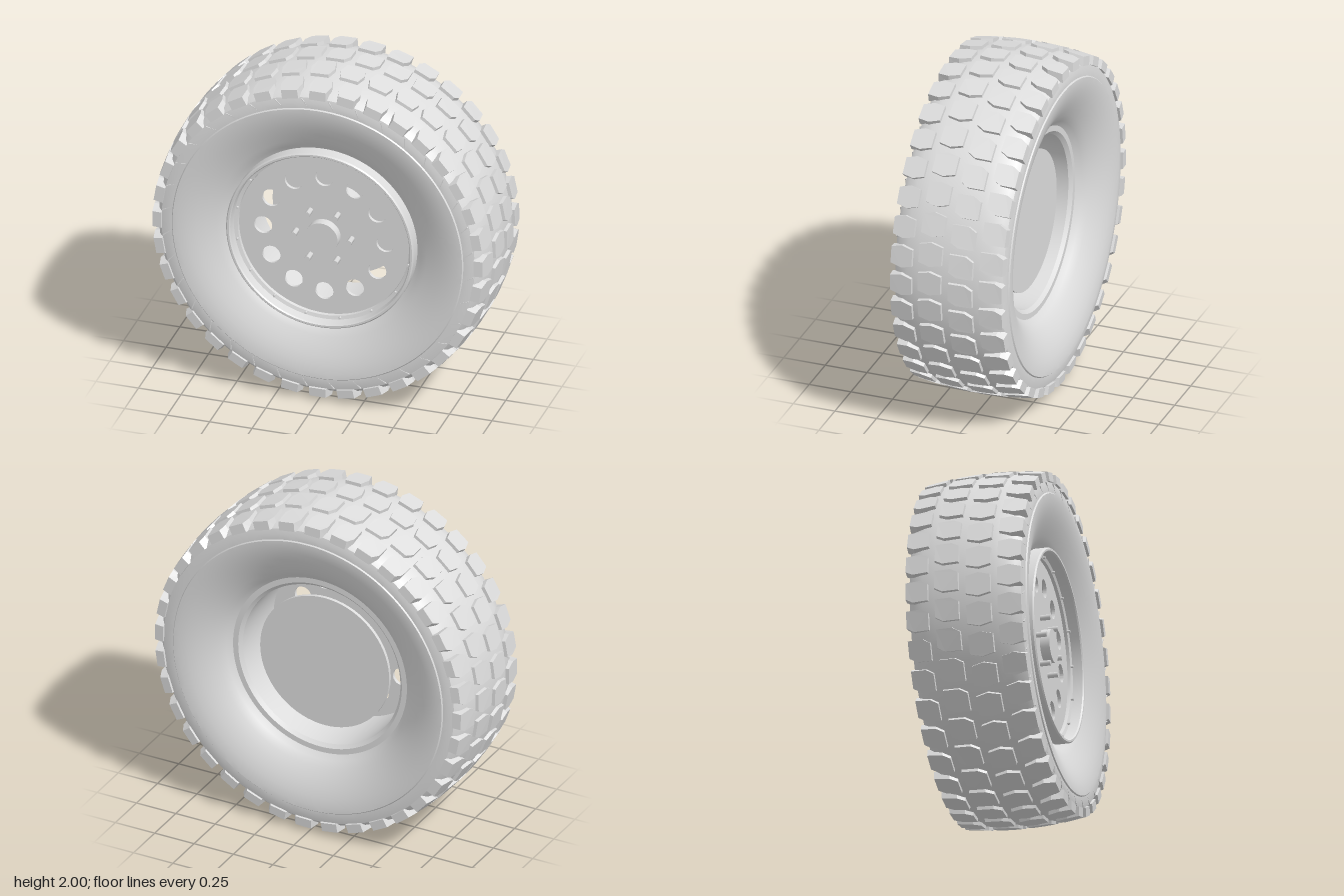
import * as THREE from 'three';
import { mergeGeometries, toCreasedNormals } from 'three/addons/utils/BufferGeometryUtils.js';

const grey = new THREE.MeshStandardMaterial({ color: 0xdddddd });
grey.name = 'light grey';

const TAU = Math.PI * 2;
const BLOCKS = 36;

// Closed (radius, z) profile, counterclockwise, spun around the wheel axis
function spin(profile, crease = 0.45) {
  const pts = profile.concat([profile[0]]).map(([r, z]) => new THREE.Vector2(r, z));
  const g = new THREE.LatheGeometry(pts, 120).rotateX(Math.PI / 2);
  return toCreasedNormals(g, crease);
}

// Cylinder lying along the wheel axis
function drum(radius, z0, z1, sides) {
  return new THREE.CylinderGeometry(radius, radius, z1 - z0, sides)
    .rotateX(Math.PI / 2).translate(0, 0, (z0 + z1) / 2);
}

// Copies of a geometry around the wheel axis
function ring(geometry, count, offset = 0) {
  const copies = [];
  for (let i = 0; i < count; i++) {
    copies.push(geometry.clone().rotateZ((i / count) * TAU + offset));
  }
  return mergeGeometries(copies);
}

// Tread block: outline in (tangent, z), wrapped onto the tyre at +x
function treadBlock(outline, zMid, baseR) {
  const shape = new THREE.Shape(outline.map(([s, z]) => new THREE.Vector2(s, z)));
  const g = new THREE.ExtrudeGeometry(shape, { depth: 1, bevelEnabled: false });
  const p = g.attributes.position;
  for (let i = 0; i < p.count; i++) {
    const top = p.getZ(i) > 0.5;
    const shrink = top ? 0.94 : 1;
    const a = p.getX(i) * shrink;
    const z = zMid + p.getY(i) * shrink;
    const r = top ? 1.001 - 0.25 * z * z : baseR;
    p.setXYZ(i, r * Math.cos(a), r * Math.sin(a), z);
  }
  g.computeVertexNormals();
  return g;
}

export function createModel() {
  const wheel = new THREE.Group();
  wheel.name = 'wheel';
  wheel.position.y = 1;
  const add = (name, geometry) => {
    const mesh = new THREE.Mesh(geometry, grey);
    mesh.name = name;
    wheel.add(mesh);
  };

  // Tyre carcass: dished sidewalls, sloped shoulders, crowned tread base
  add('tyre', spin([
    [0.53, -0.175], [0.56, -0.195], [0.58, -0.22], [0.62, -0.252], [0.67, -0.283],
    [0.72, -0.307], [0.77, -0.325], [0.82, -0.336], [0.852, -0.338], [0.858, -0.331],
    [0.89, -0.33], [0.922, -0.322], [0.945, -0.295], [0.963, -0.24], [0.975, -0.17], [0.983, 0],
    [0.975, 0.17], [0.963, 0.24], [0.945, 0.295], [0.922, 0.322], [0.89, 0.33],
    [0.858, 0.331], [0.852, 0.338], [0.82, 0.336], [0.77, 0.326], [0.72, 0.31],
    [0.67, 0.289], [0.62, 0.265], [0.58, 0.243], [0.56, 0.225], [0.53, 0.21],
  ], 0.6));

  // Four staggered rows of tread blocks: peaked ones in front, corner-cut ones behind
  const peaked = (w, h) => [
    [-h, 0], [-h * 0.75, -w], [h * 0.75, -w], [h, 0], [h * 0.75, w], [-h * 0.75, w],
  ];
  const cut = (w, h) => [
    [-h, -w], [h * 0.6, -w], [h, -w * 0.35], [h, w], [-h * 0.6, w], [-h, w * 0.35],
  ];
  const rows = [
    { outline: peaked(0.07, 0.07), z: 0.268, base: 0.92, shift: 0 },
    { outline: peaked(0.074, 0.075), z: 0.092, base: 0.96, shift: 0.25 },
    { outline: cut(0.074, 0.07), z: -0.092, base: 0.96, shift: 0 },
    { outline: cut(0.07, 0.067), z: -0.268, base: 0.92, shift: 0.25 },
  ];
  rows.forEach(({ outline, z, base, shift }, i) => {
    add(`treadRow${i + 1}`, ring(treadBlock(outline, z, base), BLOCKS, (shift * TAU) / BLOCKS));
  });

  // Fine slanted ribs on the front shoulder
  const rib = new THREE.BoxGeometry(0.06, 0.005, 0.006).rotateZ(0.6).translate(0.892, 0, 0.3285);
  add('shoulderRibs', ring(rib, BLOCKS, (0.5 * TAU) / BLOCKS));

  // Rim barrel with front and rear flanges and a sloped seat for the face
  add('rim', spin([
    [0.5, -0.17], [0.52, -0.19], [0.56, -0.19], [0.56, -0.165], [0.535, -0.145],
    [0.535, 0.2], [0.552, 0.22], [0.552, 0.29], [0.545, 0.298], [0.534, 0.298],
    [0.528, 0.29], [0.524, 0.235], [0.504, 0.228], [0.5, 0.2],
  ]));

  // Wheel face with twelve round openings
  const face = new THREE.Shape().absarc(0, 0, 0.505, 0, TAU, false);
  for (let i = 0; i < 12; i++) {
    const a = (i / 12) * TAU;
    face.holes.push(new THREE.Path().absarc(0.36 * Math.cos(a), 0.36 * Math.sin(a), 0.053, 0, TAU, true));
  }
  const faceGeometry = new THREE.ExtrudeGeometry(face, { depth: 0.02, bevelEnabled: false, curveSegments: 48 })
    .translate(0, 0, 0.19);
  add('wheelFace', toCreasedNormals(faceGeometry, 0.5));

  // Hub cap, lug bolts and small rivets
  add('hubCap', drum(0.096, 0.2, 0.265, 48));
  add('lugBolts', ring(drum(0.017, 0.2, 0.27, 6).translate(0.163, 0, 0), 6));
  add('rimRivets', ring(drum(0.007, 0.225, 0.245, 8).translate(0.513, 0, 0), 16, TAU / 32));

  // Brake plate behind the face, carried on the axle
  add('brakePlate', drum(0.41, -0.135, -0.115, 72));
  add('axle', drum(0.14, -0.12, 0.195, 32));

  return wheel;
}
